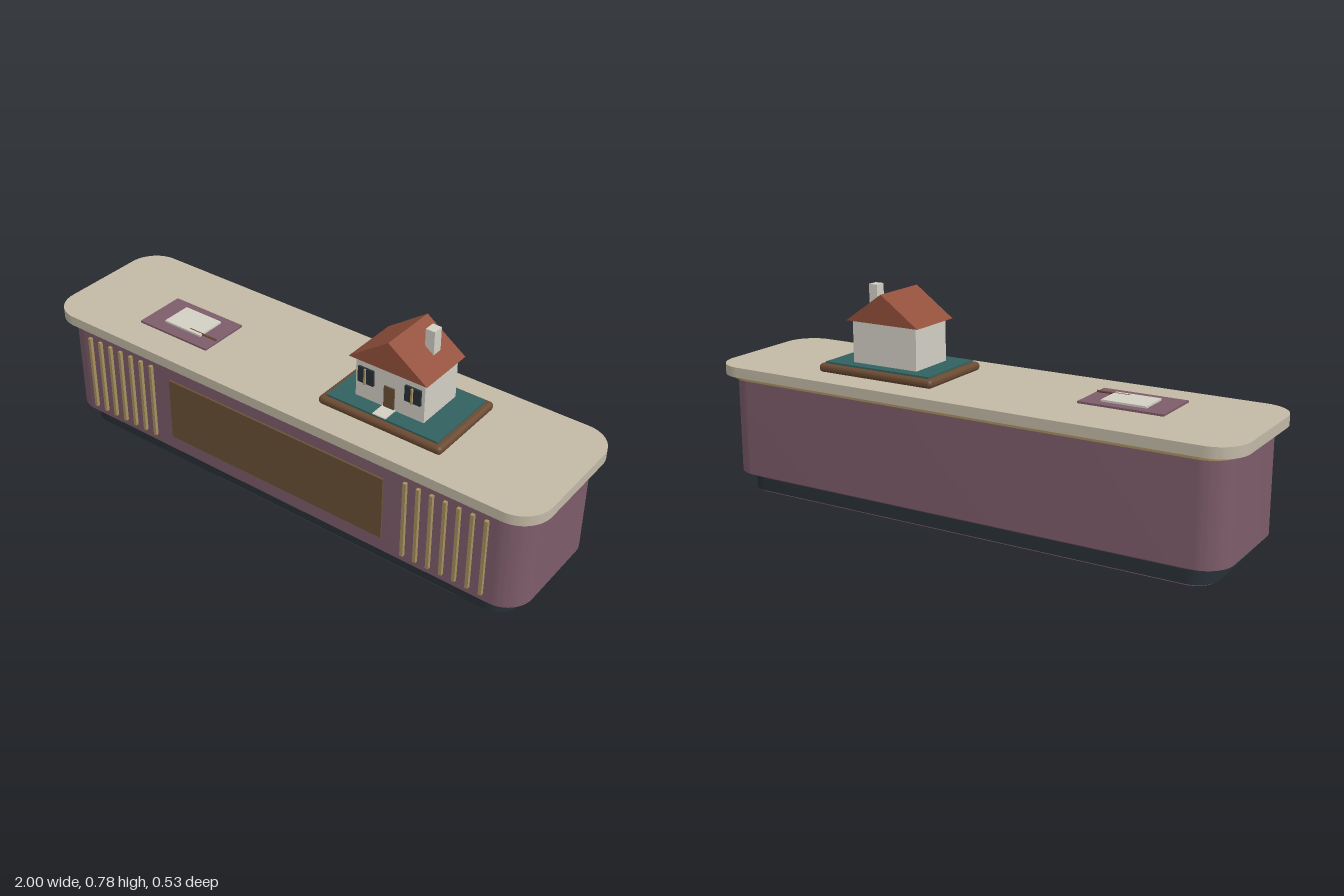
import * as THREE from 'three';
import { toCreasedNormals } from 'three/addons/utils/BufferGeometryUtils.js';
import { RoundedBoxGeometry } from 'three/addons/geometries/RoundedBoxGeometry.js';

const mat = (color) => new THREE.MeshStandardMaterial({ color });
const MAUVE = mat(0x7d5c6a), STONE = mat(0xc2b9a6), BRASS = mat(0xa89060), DARK = mat(0x283036),
  PANEL = mat(0x6b5136), WOOD = mat(0x6b4a32), GREEN = mat(0x32625f), CREAM = mat(0xd2cfc4),
  ROOF = mat(0x92503b);

function add(parent, name, geometry, material) {
  const mesh = new THREE.Mesh(geometry, material);
  mesh.name = name;
  parent.add(mesh);
  return mesh;
}

// Box given by its limits on each axis
function box(parent, name, material, x0, x1, y0, y1, z0, z1) {
  const mesh = add(parent, name, new THREE.BoxGeometry(x1 - x0, y1 - y0, z1 - z0), material);
  mesh.position.set((x0 + x1) / 2, (y0 + y1) / 2, (z0 + z1) / 2);
  return mesh;
}

// Upright slab with rounded corners; the lower rim may be drawn in by (sx, sz)
function slab(parent, name, material, hx, hz, r, y0, y1, sx = 1, sz = 1) {
  const shape = new THREE.Shape();
  shape.absarc(hx - r, hz - r, r, 0, Math.PI / 2);
  shape.absarc(r - hx, hz - r, r, Math.PI / 2, Math.PI);
  shape.absarc(r - hx, r - hz, r, Math.PI, Math.PI * 1.5);
  shape.absarc(hx - r, r - hz, r, Math.PI * 1.5, Math.PI * 2);
  shape.closePath();
  const g = new THREE.ExtrudeGeometry(shape, { depth: y1 - y0, bevelEnabled: false, curveSegments: 10 });
  g.rotateX(-Math.PI / 2).translate(0, y0, 0);
  const p = g.attributes.position;
  for (let i = 0; i < p.count; i++) {
    if (p.getY(i) < (y0 + y1) / 2) p.setXYZ(i, p.getX(i) * sx, p.getY(i), p.getZ(i) * sz);
  }
  return add(parent, name, toCreasedNormals(g, 0.5), material);
}

function createCounter() {
  const counter = new THREE.Group();
  counter.name = 'counter';
  slab(counter, 'underside', MAUVE, 0.905, 0.206, 0.08, 0, 0.004);
  slab(counter, 'plinth', DARK, 0.91, 0.209, 0.08, 0.004, 0.055);
  slab(counter, 'bodyLowerBevel', MAUVE, 0.96, 0.24, 0.1, 0.053, 0.069, 0.948, 0.875);
  slab(counter, 'body', MAUVE, 0.96, 0.24, 0.1, 0.069, 0.421);
  slab(counter, 'brassTrim', BRASS, 0.97, 0.249, 0.105, 0.421, 0.435);
  slab(counter, 'countertop', STONE, 1, 0.267, 0.11, 0.435, 0.472);
  box(counter, 'frontPanel', PANEL, -0.453, 0.453, 0.126, 0.366, 0.23, 0.247);
  // Brass slats on both sides of the panel
  for (const side of [-1, 1]) {
    for (let i = 0; i < 7; i++) {
      const x = side * (0.537 + i * 0.0493);
      box(counter, 'slat', BRASS, x - 0.006, x + 0.006, 0.097, 0.393, 0.23, 0.252);
    }
  }
  return counter;
}

function createHouse() {
  const house = new THREE.Group();
  house.name = 'modelHouse';
  const base = add(house, 'woodBase', new RoundedBoxGeometry(0.474, 0.031, 0.322, 3, 0.014), WOOD);
  base.position.set(0.367, 0.487, 0);
  box(house, 'lawn', GREEN, 0.152, 0.582, 0.5, 0.509, -0.142, 0.142);
  box(house, 'walls', CREAM, 0.228, 0.492, 0.509, 0.661, -0.1, 0.085);

  // Gabled roof, ridge running front to back
  const gable = new THREE.Shape();
  gable.moveTo(0.21, 0.66).lineTo(0.508, 0.66).lineTo(0.359, 0.765).closePath();
  const roof = new THREE.ExtrudeGeometry(gable, { depth: 0.219, bevelEnabled: false });
  add(house, 'roof', roof.translate(0, 0, -0.117), ROOF);
  box(house, 'chimney', CREAM, 0.42, 0.454, 0.695, 0.783, -0.052, -0.013);

  box(house, 'door', PANEL, 0.34, 0.38, 0.509, 0.592, 0.08, 0.09);
  box(house, 'doorStep', CREAM, 0.335, 0.385, 0.509, 0.513, 0.085, 0.143);
  for (const x of [0.27, 0.45]) {
    box(house, 'window', DARK, x - 0.03, x + 0.03, 0.571, 0.628, 0.08, 0.093);
    box(house, 'windowBar', BRASS, x - 0.003, x + 0.003, 0.571, 0.628, 0.09, 0.1);
  }
  return house;
}

function createDeskSet() {
  const set = new THREE.Group();
  set.name = 'deskSet';
  box(set, 'blotter', MAUVE, -0.67, -0.365, 0.472, 0.479, -0.049, 0.146);
  box(set, 'paper', CREAM, -0.595, -0.432, 0.479, 0.486, -0.014, 0.1);
  const pen = add(set, 'pen', new THREE.CylinderGeometry(0.004, 0.004, 0.12, 10), WOOD);
  pen.rotation.z = Math.PI / 2;
  pen.position.set(-0.43, 0.483, 0.085);
  return set;
}

export function createModel() {
  const model = new THREE.Group();
  model.name = 'receptionCounter';
  model.add(createCounter(), createHouse(), createDeskSet());
  return model;
}
